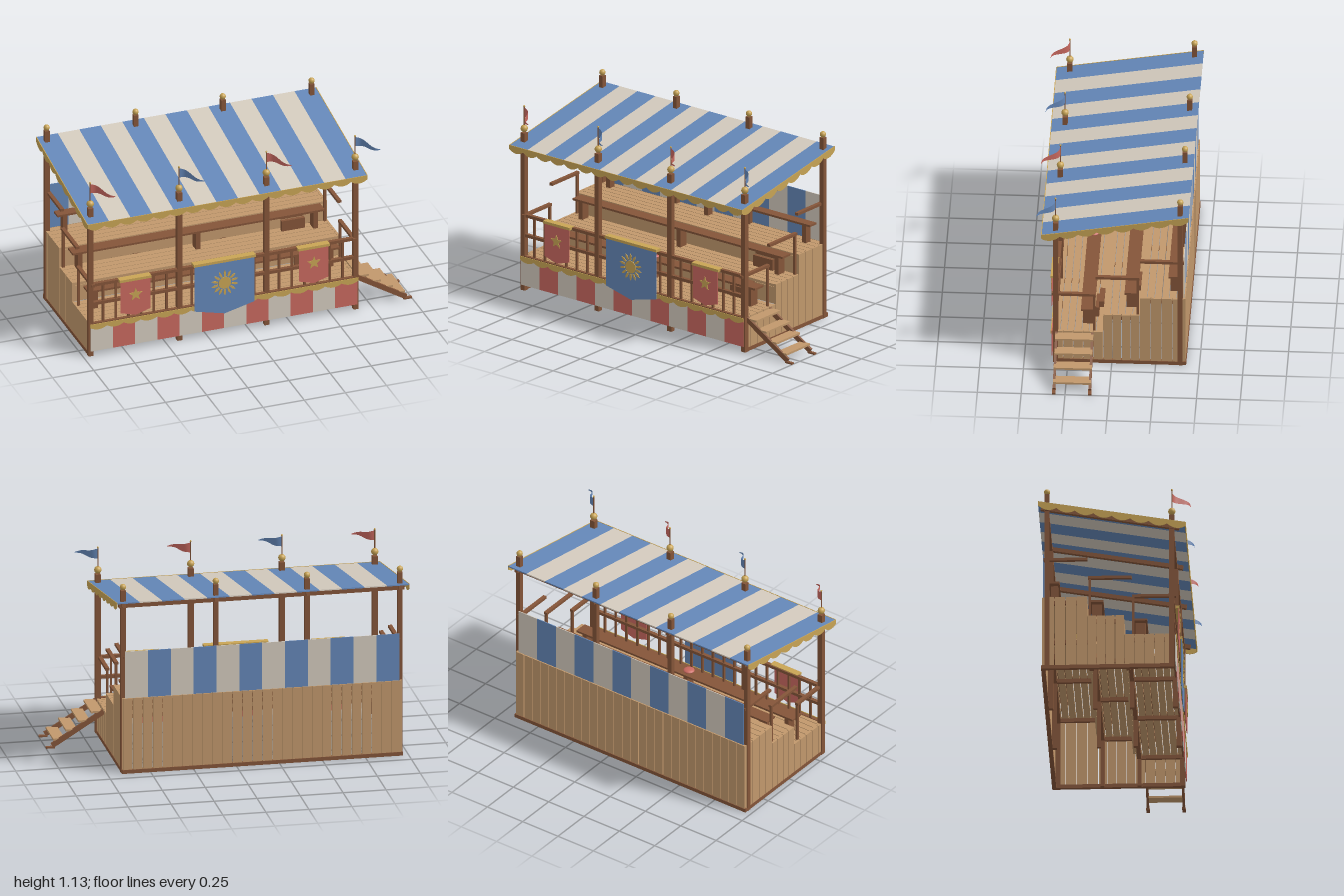
import * as THREE from 'three';

const mat = (name, color, side = THREE.FrontSide) => {
  const m = new THREE.MeshStandardMaterial({ color, side });
  m.name = name;
  return m;
};

export function createModel() {
  const plank = mat('light plank wood', 0xc1986c);
  const timber = mat('dark timber', 0x845539);
  const blue = mat('blue cloth', 0x6487b8, THREE.DoubleSide);
  const cream = mat('cream cloth', 0xd3cabd, THREE.DoubleSide);
  const red = mat('red cloth', 0xc8685f, THREE.DoubleSide);
  const gold = mat('gold trim', 0xc8a455, THREE.DoubleSide);

  const root = new THREE.Group();
  root.name = 'grandstand';
  const stand = new THREE.Group();
  stand.name = 'stand';
  stand.position.x = -0.15; // the stand is symmetric, the stairs stick out on one side
  root.add(stand);

  const add = (name, geo, m, x = 0, y = 0, z = 0) => {
    const mesh = new THREE.Mesh(geo, m);
    mesh.name = name;
    mesh.position.set(x, y, z);
    stand.add(mesh);
    return mesh;
  };
  // Box given by its min and max corners
  const box = (name, m, x0, x1, y0, y1, z0, z1) =>
    add(name, new THREE.BoxGeometry(x1 - x0, y1 - y0, z1 - z0), m, (x0 + x1) / 2, (y0 + y1) / 2, (z0 + z1) / 2);
  const plate = (name, shape, m, x, y, z, depth = 0.004) =>
    add(name, new THREE.ExtrudeGeometry(shape, { depth, bevelEnabled: false }), m, x, y, z);

  const postX = [-0.805, -0.265, 0.265, 0.805];
  const slope = 0.145 / 0.84;
  const tilt = Math.atan(slope);
  const roofY = z => 0.89 + (0.4 - z) * slope;

  // Stepped decks: boards along x, riser, and plank side walls
  const tiers = [[0.21, 0.335, 0.05], [0.33, 0.05, -0.16], [0.45, -0.16, -0.41]];
  tiers.forEach(([y, zf, zb], t) => {
    const n = Math.round((zf - zb) / 0.042), w = (zf - zb) / n;
    for (let i = 0; i < n; i++) box('deckBoard', plank, -0.8, 0.8, y - 0.018, y - 0.002, zb + i * w + 0.002, zb + (i + 1) * w - 0.002);
    if (t) box('riser', plank, -0.8, 0.8, y - 0.12, y - 0.019, zf - 0.012, zf);
    const m = Math.round((zf - zb) / 0.057), pw = (zf - zb) / m;
    for (const s of [-1, 1]) {
      for (let i = 0; i < m; i++) {
        const z = zb + i * pw;
        box('sidePlank', plank, s * 0.807 - 0.007, s * 0.807 + 0.007, 0.015, y, z + 0.002, z + pw - 0.002);
      }
    }
    // Joists and props below each deck
    box('joist', timber, -0.8, 0.8, y - 0.045, y - 0.018, zb + 0.012, zb + 0.035);
    for (const x of postX) {
      box('crossJoist', timber, x * 0.985 - 0.01, x * 0.985 + 0.01, y - 0.04, y - 0.018, zb + 0.02, zf - 0.015);
      if (t < 2) box('prop', timber, x * 0.98 - 0.012, x * 0.98 + 0.012, 0, y - 0.018, zb + 0.012, zb + 0.036);
    }
  });

  // Back wall and base beams
  for (let i = 0; i < 28; i++) {
    const w = 1.62 / 28, x = -0.81 + i * w;
    box('backPlank', plank, x + 0.002, x + w - 0.002, 0.015, 0.45, -0.42, -0.407);
  }
  box('backBase', timber, -0.815, 0.815, 0, 0.022, -0.424, -0.4);
  for (const s of [-1, 1]) box('sideBase', timber, s * 0.806 - 0.011, s * 0.806 + 0.011, 0, 0.022, -0.42, 0.335);

  // Striped cloths
  const stripes = (name, n, half, mats, place) => {
    for (let i = 0; i < n; i++) place(name, mats[i % 2], -half + (i * 2 * half) / n, -half + ((i + 1) * 2 * half) / n);
  };
  stripes('backCloth', 12, 0.797, [blue, cream], (nm, m, a, b) => box(nm, m, a, b, 0.45, 0.73, -0.413, -0.408));
  stripes('frontSkirt', 12, 0.81, [cream, red], (nm, m, a, b) => box(nm, m, a, b, 0.035, 0.205, 0.339, 0.344));
  stripes('roofCloth', 13, 0.85, [blue, cream], (nm, m, a, b) => {
    const g = new THREE.BoxGeometry(b - a, 0.007, 0.84 / Math.cos(tilt));
    add(nm, g, m, (a + b) / 2, roofY(-0.02) - 0.0035, -0.02).rotation.x = tilt;
  });

  // Scalloped trims
  const scallops = (len, n, cusp, belly, k = 0) => {
    const s = new THREE.Shape(), w = len / n;
    s.moveTo(0, 0);
    s.lineTo(len, k * len);
    for (let i = n; i > 0; i--) {
      const a = i * w, b = a - w, mid = (a + b) / 2;
      s.lineTo(a, k * a - cusp);
      s.quadraticCurveTo(mid, k * mid - 2 * belly + cusp, b, k * b - cusp);
    }
    return s;
  };
  plate('frontValance', scallops(1.7, 17, 0.024, 0.043), gold, -0.85, 0.892, 0.398);
  plate('skirtTrim', scallops(1.63, 16, 0.02, 0.036), gold, -0.815, 0.21, 0.345);
  for (const s of [-1, 1]) {
    plate('sideValance', scallops(0.84, 8, 0.026, 0.046, slope), gold, s * 0.85 - 0.002, 0.892, 0.4).rotation.y = Math.PI / 2;
  }
  box('deckEdge', timber, -0.81, 0.81, 0.18, 0.212, 0.318, 0.338);

  // Posts with ball tops, rafters and roof beams
  const pennantShape = side => {
    // Waving pennant, narrowing from the pole to the tip
    const g = new THREE.PlaneGeometry(1, 1, 12, 1), p = g.attributes.position;
    for (let i = 0; i < p.count; i++) {
      const u = p.getX(i) + 0.5, v = p.getY(i);
      const wave = 0.014 * Math.sin(u * Math.PI * 2);
      p.setXYZ(i, 0.115 * u + wave * 0.5, v * 0.06 * (1 - 0.93 * u) - 0.02 * u, side * 0.105 * u - wave);
    }
    g.computeVertexNormals();
    return g;
  };
  postX.forEach((x, i) => {
    box('frontPost', timber, x - 0.015, x + 0.015, 0, 0.955, 0.306, 0.336);
    box('backPost', timber, x - 0.014, x + 0.014, 0, 1.095, -0.404, -0.376);
    add('frontBall', new THREE.SphereGeometry(0.021, 16, 12), gold, x, 0.98, 0.321);
    add('backBall', new THREE.SphereGeometry(0.018, 16, 12), gold, x, 1.113, -0.39);
    add('flagPole', new THREE.CylinderGeometry(0.003, 0.003, 0.12, 8), timber, x, 1.055, 0.321);
    add('poleTip', new THREE.SphereGeometry(0.006, 10, 8), gold, x, 1.115, 0.321);
    add('pennant', pennantShape(1), i % 2 ? blue : red, x, 1.078, 0.321);
    add('rafter', new THREE.BoxGeometry(0.022, 0.024, 0.8), timber, x, roofY(-0.03) - 0.021, -0.03).rotation.x = tilt;
  });
  box('frontRoofBeam', timber, -0.83, 0.83, 0.862, 0.89, 0.31, 0.332);
  box('backRoofBeam', timber, -0.83, 0.83, 0.99, 1.016, -0.4, -0.38);

  // Front railing
  for (const y of [0.335, 0.455]) box('frontRail', timber, -0.815, 0.815, y - 0.009, y + 0.009, 0.312, 0.334);
  for (let b = 0; b < 3; b++) {
    for (let i = 1; i < 7; i++) {
      const x = postX[b] + ((postX[b + 1] - postX[b]) * i) / 7;
      box('baluster', timber, x - 0.006, x + 0.006, 0.21, 0.45, 0.317, 0.329);
    }
  }

  // Side handrails
  const sideRail = (s, y, z0, z1, postZ, foot) => {
    const x = s * 0.795;
    box('handrail', timber, x - 0.011, x + 0.011, y - 0.008, y + 0.008, z0, z1);
    if (foot) box('handrailPost', timber, x - 0.007, x + 0.007, foot, y, postZ - 0.007, postZ + 0.007);
  };
  for (const s of [-1, 1]) {
    sideRail(s, 0.455, 0.095, 0.345, 0.102, 0.21);
    sideRail(s, 0.575, -0.157, 0.092, -0.147, 0.33);
    sideRail(s, 0.692, -0.41, -0.16, 0, 0);
  }

  // Benches
  for (const [y, z, d] of [[0.21, 0.14, 0.078], [0.33, -0.108, 0.076], [0.45, -0.35, 0.06]]) {
    box('benchSeat', timber, -0.765, 0.765, y + 0.108, y + 0.12, z - d / 2, z + d / 2);
    for (const x of [-0.715, 0, 0.715]) {
      box('benchLeg', timber, x - 0.014, x + 0.014, y, y + 0.108, z - d / 2 + 0.01, z + d / 2 - 0.01);
    }
  }
  add('cushion', new THREE.SphereGeometry(0.033, 16, 10).scale(1, 0.36, 1), red, 0, 0.342, 0.143);

  // Small steps between the decks
  for (const [y, z] of [[0.21, 0.05], [0.33, -0.16]]) {
    box('lowStep', timber, 0.52, 0.66, y, y + 0.065, z + 0.03, z + 0.05);
    box('highStep', timber, 0.52, 0.66, y + 0.068, y + 0.105, z + 0.001, z + 0.03);
  }

  // Hanging banners with emblems
  const banner = (x, half, top, sideY, tip, m) => {
    const s = new THREE.Shape();
    s.moveTo(-half, top);
    s.lineTo(-half, sideY);
    s.lineTo(0, tip);
    s.lineTo(half, sideY);
    s.lineTo(half, top);
    plate('banner', s, m, x, 0, 0.35);
    box('bannerBar', gold, x - half - 0.006, x + half + 0.006, top - 0.008, top + 0.008, 0.318, 0.358);
  };
  const star = (n, R, r) => {
    const s = new THREE.Shape();
    for (let i = 0; i < 2 * n; i++) {
      const a = Math.PI / 2 + (i * Math.PI) / n, q = i % 2 ? r : R;
      s[i ? 'lineTo' : 'moveTo'](q * Math.cos(a), q * Math.sin(a));
    }
    return s;
  };
  for (const s of [-1, 1]) {
    banner(s * 0.542, 0.09, 0.46, 0.255, 0.228, red);
    plate('star', star(5, 0.042, 0.018), gold, s * 0.542, 0.362, 0.355);
  }
  banner(0, 0.182, 0.475, 0.18, 0.135, blue);
  plate('sunDisc', new THREE.Shape().absarc(0, 0, 0.038, 0, Math.PI * 2), gold, 0, 0.335, 0.355);
  for (let i = 0; i < 14; i++) {
    const ray = new THREE.Shape();
    ray.moveTo(-0.005, 0.043);
    ray.lineTo(0.005, 0.043);
    ray.lineTo(0.007, 0.065);
    ray.lineTo(0, 0.082);
    ray.lineTo(-0.007, 0.065);
    plate('sunRay', ray, gold, 0, 0.335, 0.355).rotation.z = (i * Math.PI) / 7;
  }

  // Entry stairs on the left end
  const run = 0.3, drop = 0.185, len = Math.hypot(run, drop);
  for (const z of [0.11, 0.315]) {
    add('stringer', new THREE.BoxGeometry(len, 0.03, 0.014), timber, 0.965, 0.107, z).rotation.z = -Math.atan2(drop, run);
    box('stairFoot', timber, 1.1, 1.15, 0, 0.01, z - 0.01, z + 0.01);
  }
  for (let i = 0; i < 4; i++) {
    const x = 0.855 + i * 0.073, y = 0.2 - i * 0.05;
    box('tread', plank, x - 0.032, x + 0.034, y - 0.006, y + 0.006, 0.104, 0.321);
  }
  return root;
}
